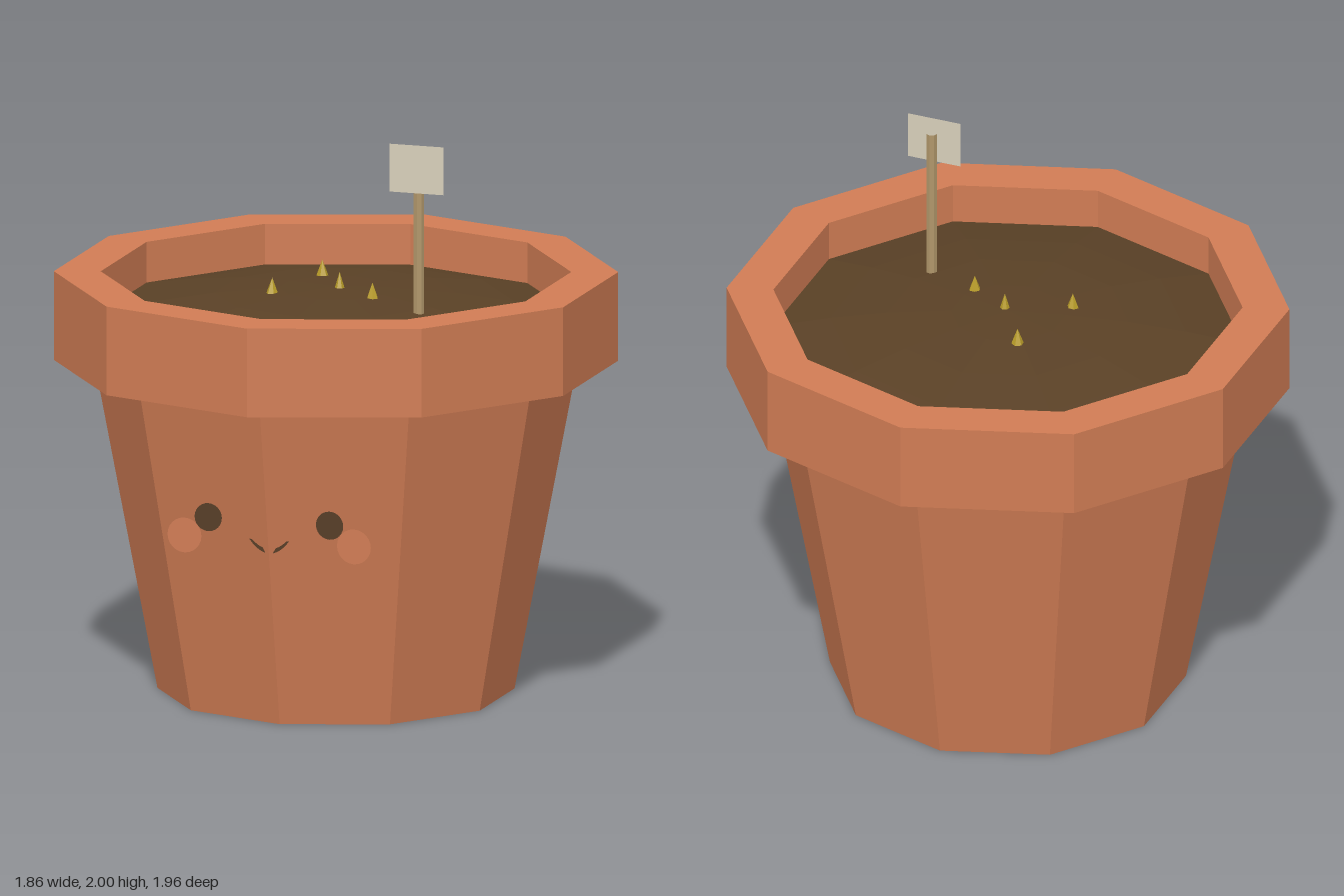
import * as THREE from 'three';

const SIDES = 10;

function material(name, color, doubleSided = false) {
  const m = new THREE.MeshStandardMaterial({ color });
  m.name = name;
  if (doubleSided) m.side = THREE.DoubleSide;
  return m;
}

// Faceted copy of a geometry
function faceted(geometry) {
  const g = geometry.index ? geometry.toNonIndexed() : geometry;
  g.computeVertexNormals();
  return g;
}

// Ten-sided turned part from [radius, height] points, outside listed upward
function turned(points) {
  return faceted(new THREE.LatheGeometry(points.map(([r, y]) => new THREE.Vector2(r, y)), SIDES));
}

export function createModel() {
  const group = new THREE.Group();
  group.name = 'flowerPot';

  const terracotta = material('terracotta', 0xd07c54);
  const blush = material('blush', 0xd07c54, true);
  const soilBrown = material('soil brown', 0x5a4126);
  const faceBrown = material('face brown', 0x553c24, true);
  const wood = material('wood', 0xb0966a);
  const card = material('card', 0xd8cfba, true);
  const seedGold = material('seed gold', 0xb89c28);

  function add(name, geometry, mat, x = 0, y = 0, z = 0) {
    const mesh = new THREE.Mesh(geometry, mat);
    mesh.name = name;
    mesh.position.set(x, y, z);
    group.add(mesh);
    return mesh;
  }

  // Tapered body and overhanging rim
  add('potBody', faceted(new THREE.CylinderGeometry(0.84, 0.62, 1.165, SIDES)), terracotta, 0, 0.5825, 0);
  add('potRim', turned([
    [0.8, 1.165], [0.98, 1.165], [0.98, 1.48], [0.817, 1.48], [0.817, 1.3],
  ]), terracotta);

  // Gently domed soil
  add('soil', turned([
    [0.82, 1.335], [0.62, 1.375], [0.42, 1.405], [0.2, 1.423], [0, 1.43],
  ]), soilBrown);

  // Seeds on the soil: x, z, radius, bottom, height
  const seeds = [
    [-0.11, -0.18, 0.026, 1.41, 0.068],
    [0.02, 0.02, 0.018, 1.425, 0.06],
    [-0.19, 0.13, 0.026, 1.405, 0.068],
    [0.17, 0.11, 0.026, 1.408, 0.068],
  ];
  seeds.forEach(([x, z, r, y, h], i) => {
    const seed = add('seed', faceted(new THREE.ConeGeometry(r, h, 6)), seedGold, x, y + h / 2, z);
    seed.rotation.y = i * 0.8;
  });

  // Plant label on an open-ended stake
  add('labelStake', faceted(new THREE.CylinderGeometry(0.02, 0.02, 0.6, 8, 1, true)), wood, 0.37, 1.655, 0.202);
  add('labelCard', new THREE.PlaneGeometry(0.197, 0.17), card, 0.37, 1.915, 0.225);

  // Flat face details standing just off the front
  const faceZ = 0.735;
  for (const side of [-1, 1]) {
    add('eye', new THREE.CircleGeometry(0.05, 24), faceBrown, side * 0.222, 0.745, faceZ + 0.003);
    add('cheek', new THREE.CircleGeometry(0.062, 24), blush, side * 0.31, 0.675, faceZ);
  }
  const smile = new THREE.Shape();
  smile.moveTo(-0.073, 0.678);
  smile.quadraticCurveTo(0, 0.582, 0.073, 0.678);
  smile.lineTo(0.064, 0.678);
  smile.quadraticCurveTo(0, 0.614, -0.064, 0.678);
  smile.closePath();
  add('smile', new THREE.ShapeGeometry(smile, 12), faceBrown, 0, 0, faceZ);

  return group;
}
